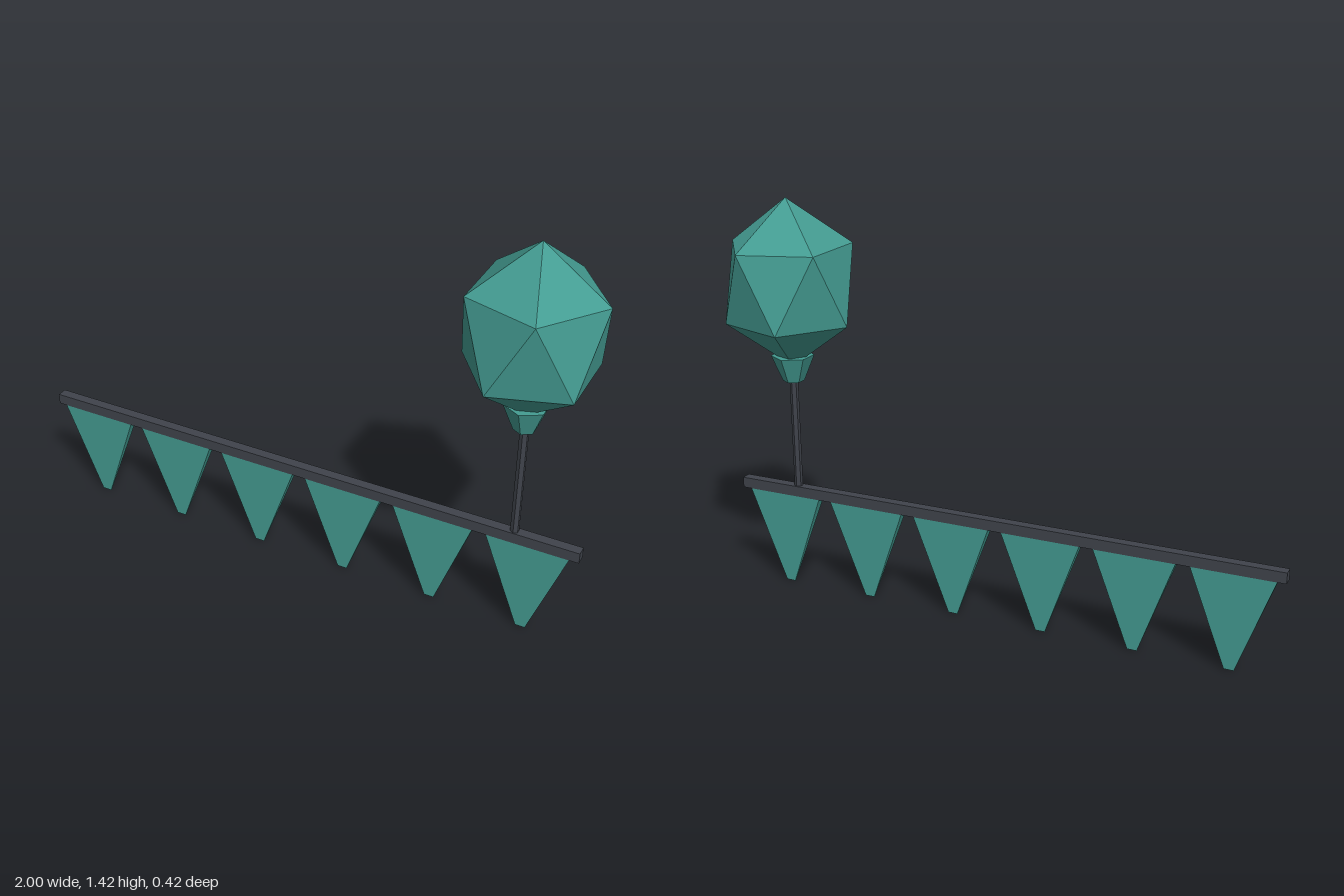
import * as THREE from 'three';
import { ConvexGeometry } from 'three/addons/geometries/ConvexGeometry.js';

const teal = new THREE.MeshStandardMaterial({ color: 0x449c92 });
teal.name = 'teal';
const charcoal = new THREE.MeshStandardMaterial({ color: 0x3f434b });
charcoal.name = 'charcoal';

// Give every facet its own flat normal
function faceted(geometry) {
  const g = geometry.index ? geometry.toNonIndexed() : geometry;
  g.computeVertexNormals();
  return g;
}

function add(parent, name, geometry, material, x, y, z = 0) {
  const mesh = new THREE.Mesh(geometry, material);
  mesh.name = name;
  mesh.position.set(x, y, z);
  parent.add(mesh);
  return mesh;
}

// Upright icosahedron: two poles and two staggered rings of five
function crystalGeometry(radius, height) {
  const points = [new THREE.Vector3(0, height, 0), new THREE.Vector3(0, -height, 0)];
  const ringY = height / Math.sqrt(5);
  const ringR = radius * 2 / Math.sqrt(5);
  for (let i = 0; i < 10; i++) {
    const a = i * Math.PI / 5;
    points.push(new THREE.Vector3(ringR * Math.cos(a), i % 2 ? -ringY : ringY, ringR * Math.sin(a)));
  }
  return faceted(new ConvexGeometry(points));
}

// Thin four-sided wedge, tapering downwards
function spikeGeometry(width, height, depth, taper) {
  const g = new THREE.CylinderGeometry(Math.SQRT1_2, Math.SQRT1_2 * taper, height, 4);
  g.rotateY(Math.PI / 4);
  g.scale(width, 1, depth);
  return faceted(g);
}

export function createModel() {
  const model = new THREE.Group();
  model.name = 'spikedBarWithCrystal';

  // Long bar
  add(model, 'bar', new THREE.BoxGeometry(2, 0.038, 0.036), charcoal, 0, 0.364);

  // Row of spikes under the bar
  const spikes = new THREE.Group();
  spikes.name = 'spikes';
  model.add(spikes);
  const spike = spikeGeometry(0.284, 0.346, 0.034, 0.12);
  for (let i = 0; i < 6; i++) {
    add(spikes, 'spike', spike, teal, -0.829 + i * 0.331, 0.173);
  }

  // Post, cup and crystal at the left end
  const x = 0.775;
  add(model, 'post', faceted(new THREE.CylinderGeometry(0.015, 0.015, 0.41, 6)), charcoal, x, 0.575);
  add(model, 'cup', faceted(new THREE.CylinderGeometry(0.075, 0.037, 0.092, 6)), teal, x, 0.822);
  add(model, 'crystal', crystalGeometry(0.248, 0.295), teal, x, 1.123);

  return model;
}
